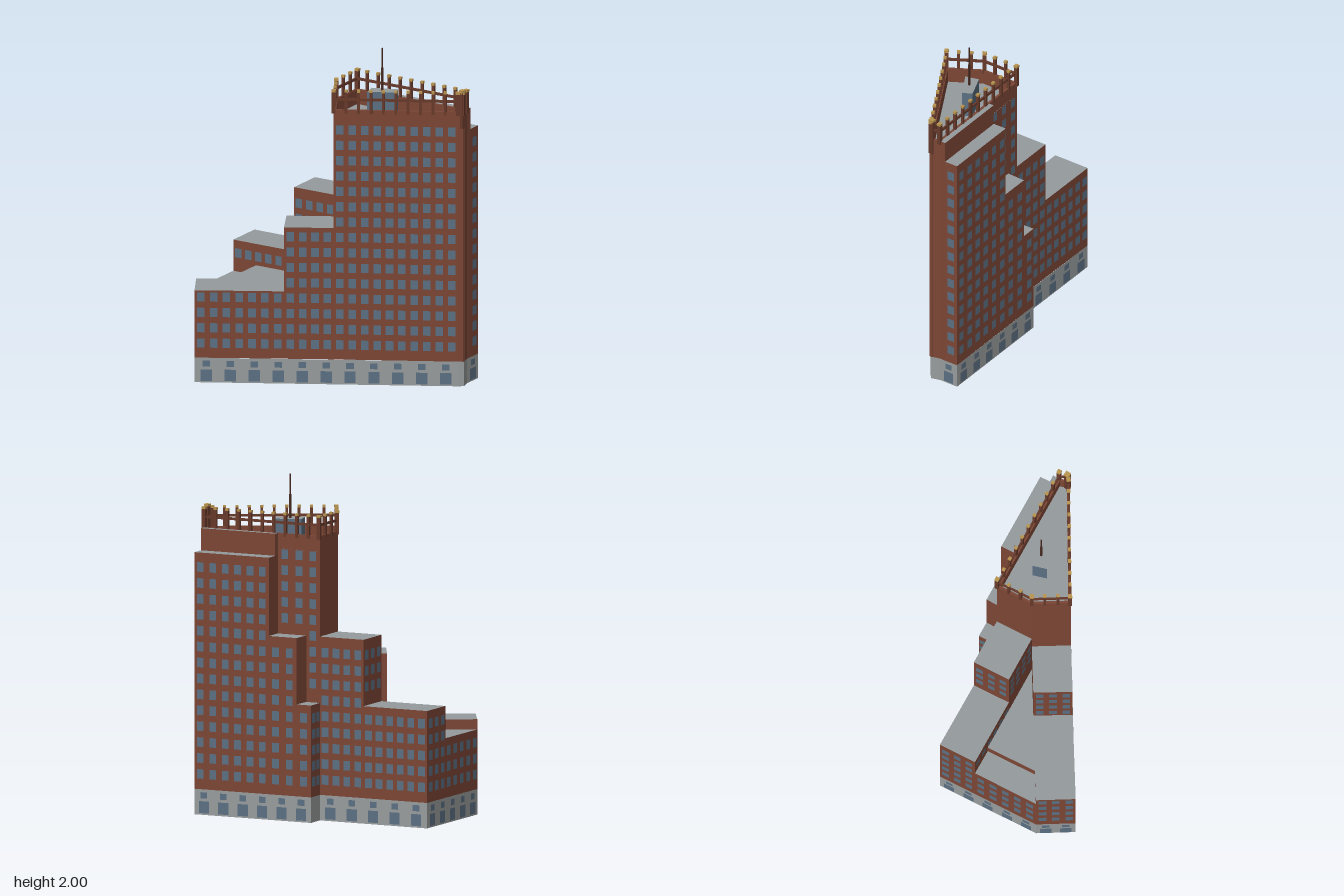
import * as THREE from 'three';
import { mergeGeometries } from 'three/addons/utils/BufferGeometryUtils.js';

const mat = (name, color, side = THREE.FrontSide) => {
  const m = new THREE.MeshStandardMaterial({ color, side });
  m.name = name;
  return m;
};

// Plan corners as [x, z]
const A = [-0.74, -0.257], W = [-0.71, -0.028], B = [-0.66, 0.37], C = [-0.52, 0.555];
const P = [-0.105, 0.24], Q = [0.125, 0.065], D = [0.71, -0.36], T = [0.735, -0.385], E = [0.713, -0.44];
const S = [0.71, -0.475], F = [0.698, -0.558], G = [0.215, -0.495], H = [0.035, -0.472], I = [-0.06, -0.46];
const J = [-0.042, -0.345], K = [-0.325, -0.308], L = [-0.295, -0.08], M = [-0.012, -0.117];
const N = [-0.24, 0.055], O = [-0.515, 0.26], R = [-0.555, -0.047];
const U = [0.23, -0.381], V = [0.045, -0.357], X = [0.228, -0.411];
const BASE = 0.15, ROOF = 1.58, PARAPET = 1.67;

export function createModel() {
  const brick = mat('brick', 0x7c4635);
  const roof = mat('roof grey', 0x959b9d, THREE.DoubleSide);
  const stone = mat('base stone', 0x989c9c, THREE.DoubleSide);
  const glass = mat('window glass', 0x5b7083);
  const post = mat('dark brick', 0x683a2b);
  const gold = mat('gold cap', 0xb8944f);
  const mast = mat('mast brown', 0x4a2c22);

  const model = new THREE.Group();
  model.name = 'building';
  const add = (name, geo, material) => {
    const m = new THREE.Mesh(geo, material);
    m.name = name;
    model.add(m);
    return m;
  };

  // Vertical prism over a plan polygon: roof on the caps, wall on the sides
  const prism = (name, pts, y0, y1, wall = brick) => {
    const shape = new THREE.Shape(pts.map(([x, z]) => new THREE.Vector2(x, -z)));
    const g = new THREE.ExtrudeGeometry(shape, { depth: y1 - y0, bevelEnabled: false });
    g.rotateX(-Math.PI / 2).translate(0, y0, 0);
    return add(name, g, [roof, wall]);
  };

  // Geometry placed along a wall p-q, pushed outward by off (negative is inward)
  const onWall = (g, p, q, t, y, off) => {
    const dx = q[0] - p[0], dz = q[1] - p[1], len = Math.hypot(dx, dz);
    g.rotateY(Math.atan2(-dz, dx));
    return g.translate(p[0] + dx * t - dz / len * off, y, p[1] + dz * t + dx / len * off);
  };
  const length = (p, q) => Math.hypot(q[0] - p[0], q[1] - p[1]);
  const bar = (p, q, y0, y1, thick, off) =>
    onWall(new THREE.BoxGeometry(length(p, q), y1 - y0, thick), p, q, 0.5, (y0 + y1) / 2, off);

  // Stepped brick masses
  prism('tower', [J, M, Q, D, T, E, U, V], BASE, ROOF);
  prism('frontTier', [N, P, Q, M], BASE, 0.95);
  prism('rearTier', [K, L, M, J], BASE, 1.08);
  prism('westTier', [A, W, L, K], BASE, 0.69);
  prism('frontLowTier', [R, O, B, C, P, N, M, L], BASE, 0.56);
  prism('westLowTier', [W, B, O, R], BASE, 0.5);
  prism('rearWing', [U, S, F, G], BASE, 1.54);
  prism('rearWingUpper', [U, E, S, X], BASE, PARAPET);
  prism('rearWingMiddle', [V, U, G, H], BASE, 1.08);
  prism('rearWingLow', [J, V, H, I], BASE, 0.69);

  // Open stone base walls
  const outline = [A, B, C, D, T, E, F, I, J];
  const stoneWalls = outline.map((p, i) => {
    const q = outline[(i + 1) % outline.length];
    return onWall(new THREE.PlaneGeometry(length(p, q), BASE), p, q, 0.5, BASE / 2, 0);
  });
  add('stoneBase', mergeGeometries(stoneWalls), stone);

  // Rows of windows on exposed brick walls: start, end, lower limit, upper limit
  const walls = [
    [A, W, BASE, 0.69], [W, B, BASE, 0.5], [B, C, BASE, 0.56], [C, P, BASE, 0.56],
    [P, Q, BASE, 0.95], [Q, D, BASE, 1.6], [S, F, BASE, 1.54], [F, G, BASE, 1.54],
    [G, H, BASE, 1.08], [H, I, BASE, 0.69], [I, J, BASE, 0.69], [J, K, BASE, 1.08],
    [K, A, BASE, 0.69], [U, V, 1.08, 1.6], [V, J, 0.69, 1.6], [W, L, 0.54, 0.69],
    [K, L, 0.69, 1.08], [L, M, 0.69, 1.08], [N, P, 0.56, 0.95],
  ];
  const panes = [];
  for (const [p, q, lo, hi] of walls) {
    const n = Math.max(1, Math.round(length(p, q) / 0.076));
    for (let r = 0; r < 15; r++) {
      const y = 0.24 + r * 0.0935;
      if (y - 0.028 < lo || y + 0.028 > hi) continue;
      for (let i = 0; i < n; i++)
        panes.push(onWall(new THREE.PlaneGeometry(0.044, 0.056), p, q, (i + 0.5) / n, y, 0.003));
    }
  }
  add('windows', mergeGeometries(panes), glass);

  // Shop fronts with small windows above them
  const shops = [];
  for (const [p, q] of [[A, B], [B, C], [C, D], [F, I], [J, A], [E, F]]) {
    const n = Math.max(1, Math.round(length(p, q) / 0.138));
    for (let i = 0; i < n; i++) {
      const t = (i + 0.5) / n;
      shops.push(onWall(new THREE.PlaneGeometry(0.066, 0.07), p, q, t, 0.045, 0.003));
      shops.push(onWall(new THREE.PlaneGeometry(0.044, 0.036), p, q, t, 0.115, 0.003));
    }
  }
  add('shopWindows', mergeGeometries(shops), glass);

  // Parapet, railing, and capped posts around the tower roof
  const parapet = [], rails = [], posts = [], caps = [];
  const rim = [[J, M, 3], [M, Q, 3], [Q, D, 10], [D, T, 1], [T, E, 1], [E, J, 10]];
  for (const [p, q, n] of rim) {
    parapet.push(bar(p, q, ROOF, PARAPET, 0.015, -0.0075));
    rails.push(bar(p, q, 1.725, 1.74, 0.01, -0.0075));
    for (let i = 0; i < n; i++) {
      const s = i === 0 ? 0.022 : 0.016;
      posts.push(onWall(new THREE.BoxGeometry(s, 0.13, s), p, q, i / n, 1.715, -0.005));
      caps.push(onWall(new THREE.BoxGeometry(s + 0.003, 0.014, s + 0.003), p, q, i / n, 1.785, -0.005));
    }
  }
  add('parapet', mergeGeometries(parapet), brick);
  add('railing', mergeGeometries(rails), post);
  add('posts', mergeGeometries(posts), post);
  add('postCaps', mergeGeometries(caps), gold);

  // Corner pier at the narrow end
  add('cornerPier', new THREE.BoxGeometry(0.028, 0.22, 0.03).translate(0.725, 1.68, -0.385), post);
  add('cornerPierCap', new THREE.BoxGeometry(0.03, 0.014, 0.032).translate(0.725, 1.795, -0.385), gold);
  add('cornerRib', new THREE.BoxGeometry(0.012, 1.42, 0.02).translate(0.73, 0.86, -0.385), brick);

  // Roof house and mast
  prism('roofHouse', [[0.163, -0.235], [0.195, -0.155], [0.333, -0.258], [0.3, -0.31]], ROOF, 1.74, glass);
  add('mastLower', new THREE.BoxGeometry(0.011, 0.14, 0.011).translate(0.245, 1.81, -0.232), mast);
  add('mastUpper', new THREE.BoxGeometry(0.006, 0.12, 0.006).translate(0.245, 1.94, -0.232), mast);
  return model;
}
